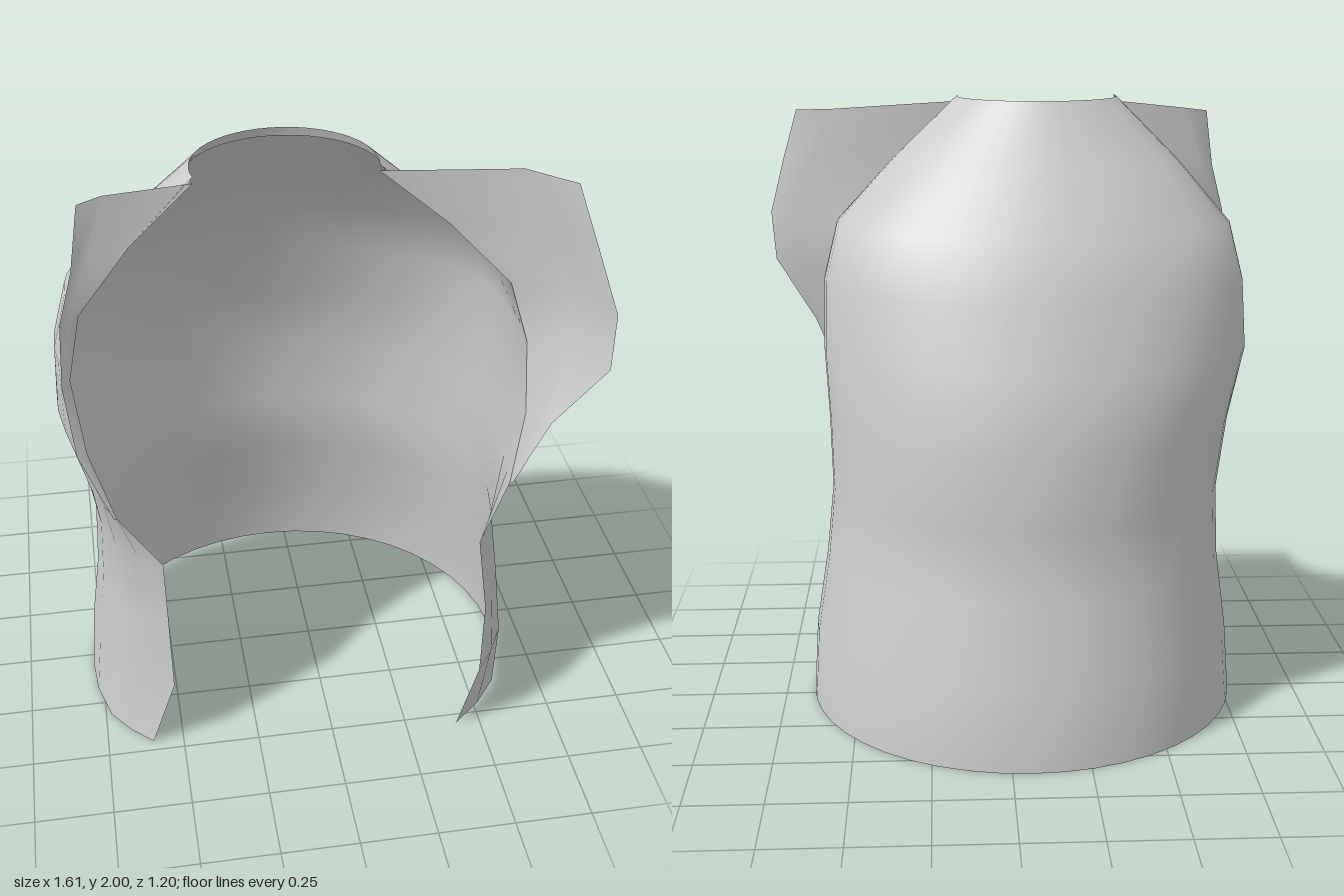
import * as THREE from 'three';

// Surface through equal-length rows of [x, y, z] points, stacked from bottom to top
function loft(rows, material, name) {
  const n = rows[0].length, index = [];
  for (let j = 0; j < rows.length - 1; j++) {
    for (let i = 0; i < n - 1; i++) {
      const a = j * n + i, b = a + n;
      index.push(a, b, a + 1, a + 1, b, b + 1);
    }
  }
  const geometry = new THREE.BufferGeometry();
  geometry.setAttribute('position', new THREE.Float32BufferAttribute(rows.flat(2), 3));
  geometry.setIndex(index);
  geometry.computeVertexNormals();
  const mesh = new THREE.Mesh(geometry, material);
  mesh.name = name;
  return mesh;
}

// Horizontal section: right front edge, round the back, left front edge
function section([y, xMin, xMax, zBack, zSide, rx, rz, lx, lz]) {
  const cx = (xMin + xMax) / 2, a = (xMax - xMin) / 2, b = zSide - zBack;
  const side = (x, ex, ez) => [x + (ex - x) * 0.3, zSide + (ez - zSide) * 0.65];
  const pts = [[rx, rz], side(xMin, rx, rz)];
  for (let i = 0; i <= 12; i++) {
    const t = Math.PI * i / 12;
    pts.push([cx - a * Math.cos(t), zSide - b * Math.sin(t)]);
  }
  pts.push(side(xMax, lx, lz), [lx, lz]);
  const curve = new THREE.CatmullRomCurve3(pts.map(([x, z]) => new THREE.Vector3(x, y, z)));
  return curve.getPoints(30).map(p => p.toArray());
}

export function createModel() {
  const group = new THREE.Group();
  group.name = 'openVest';
  const cloth = new THREE.MeshStandardMaterial({ color: 0xcccccc, side: THREE.DoubleSide });
  cloth.name = 'light grey cloth';

  // Body shell: y, xMin, xMax, zBack, zSide, right edge x z, left edge x z
  const sections = [
    [0, -0.78, 0.655, -0.60, 0.07, -0.60, 0.46, 0.42, 0.54],
    [0.25, -0.76, 0.64, -0.57, 0.07, -0.52, 0.47, 0.48, 0.56],
    [0.5, -0.73, 0.60, -0.48, 0.10, -0.525, 0.46, 0.49, 0.54],
    [0.73, -0.72, 0.575, -0.45, 0.10, -0.53, 0.44, 0.47, 0.49],
    [0.97, -0.75, 0.58, -0.45, 0.10, -0.66, 0.50, 0.545, 0.51],
    [1.2, -0.81, 0.595, -0.38, 0.14, -0.73, 0.48, 0.59, 0.47],
    [1.42, -0.80, 0.59, -0.30, 0.16, -0.76, 0.42, 0.59, 0.42],
    [1.6, -0.755, 0.545, -0.23, 0.18, -0.72, 0.37, 0.54, 0.38],
    [1.8, -0.585, 0.36, -0.07, 0.25, -0.565, 0.36, 0.35, 0.36],
    [2.0, -0.385, 0.145, 0.06, 0.31, -0.38, 0.36, 0.14, 0.36],
  ].map(section);
  group.add(loft(sections, cloth, 'bodyShell'));

  // Thin hem turned in along the neckline
  const neck = sections[sections.length - 1];
  const hem = neck.map(([x, , z]) => [-0.12 + (x + 0.12) * 1.06, 1.97, 0.36 + (z - 0.36) * 1.03]);
  group.add(loft([neck, hem], cloth, 'neckHem'));

  // Left lapel, flared outwards: seam, fold, outer edge
  group.add(loft([
    [[0.545, 0.97, 0.51], [0.55, 0.97, 0.51], [0.555, 0.97, 0.51]],
    [[0.59, 1.2, 0.47], [0.62, 1.2, 0.50], [0.65, 1.2, 0.54]],
    [[0.59, 1.42, 0.42], [0.70, 1.41, 0.47], [0.79, 1.41, 0.60]],
    [[0.54, 1.6, 0.38], [0.70, 1.59, 0.44], [0.80, 1.58, 0.58]],
    [[0.35, 1.8, 0.36], [0.62, 1.78, 0.38], [0.745, 1.77, 0.51]],
    [[0.14, 1.98, 0.36], [0.56, 1.955, 0.36], [0.69, 1.945, 0.46]],
  ], cloth, 'leftLapel'));

  // Right lapel, lying closer to the body
  group.add(loft([
    [[-0.66, 0.97, 0.50], [-0.665, 0.97, 0.50], [-0.67, 0.97, 0.50]],
    [[-0.73, 1.2, 0.48], [-0.74, 1.2, 0.49], [-0.76, 1.2, 0.49]],
    [[-0.76, 1.42, 0.42], [-0.77, 1.42, 0.44], [-0.785, 1.42, 0.46]],
    [[-0.72, 1.6, 0.37], [-0.75, 1.6, 0.39], [-0.775, 1.6, 0.42]],
    [[-0.565, 1.8, 0.36], [-0.68, 1.77, 0.355], [-0.73, 1.76, 0.40]],
    [[-0.38, 1.98, 0.36], [-0.63, 1.955, 0.345], [-0.70, 1.945, 0.37]],
  ], cloth, 'rightLapel'));
  return group;
}
